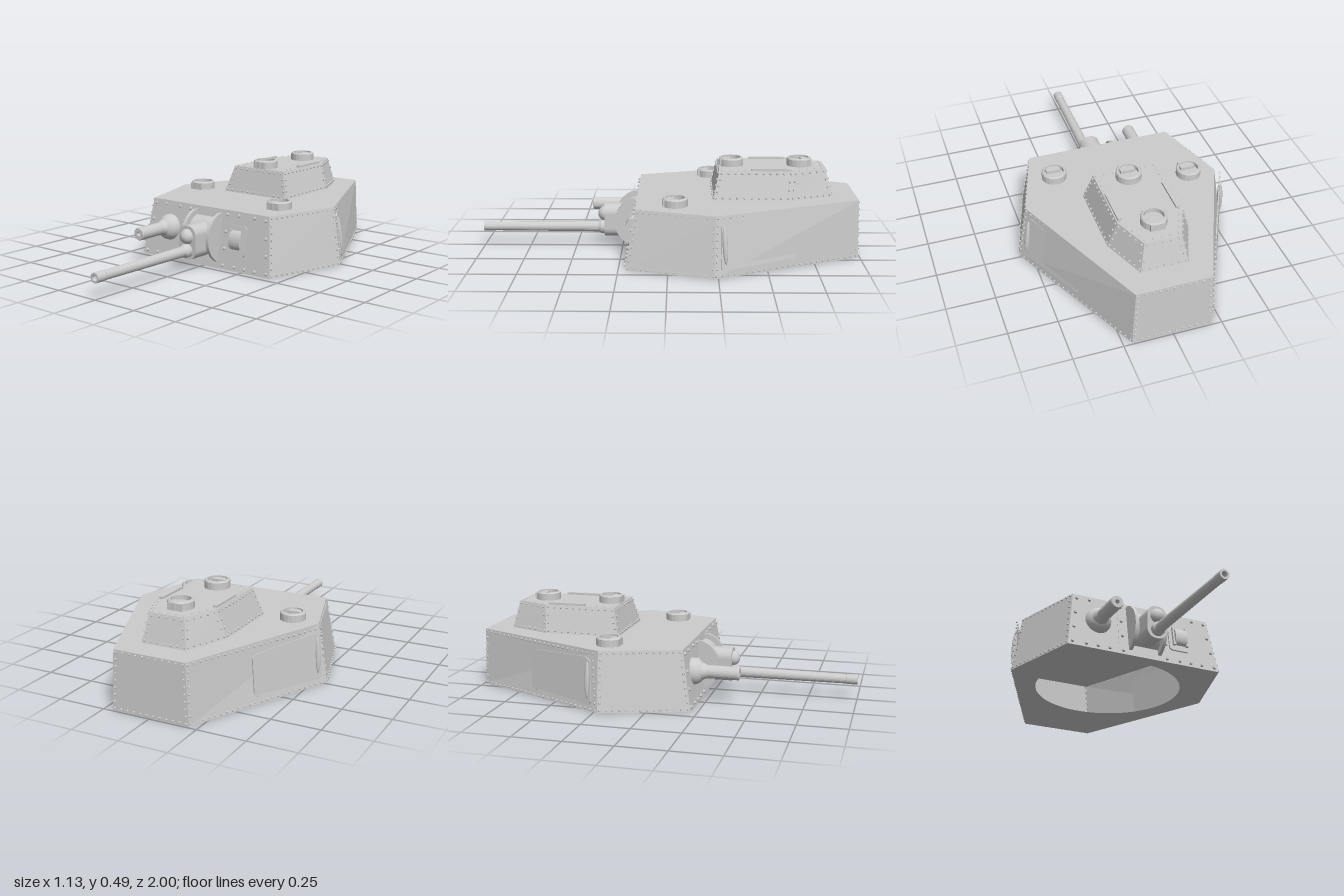
import * as THREE from 'three';
import { mergeGeometries } from 'three/addons/utils/BufferGeometryUtils.js';

const flat = new THREE.MeshStandardMaterial({ color: 0xcccccc, flatShading: true, side: THREE.DoubleSide });
const smooth = new THREE.MeshStandardMaterial({ color: 0xcccccc, side: THREE.DoubleSide });

function add(parent, name, geo, mat = flat, x = 0, y = 0, z = 0) {
  const m = new THREE.Mesh(geo, mat);
  m.name = name;
  m.position.set(x, y, z);
  parent.add(m);
  return m;
}

// Rings are [x, z] corners, running from front right to front left and round the back
const outline = ring => new THREE.Shape(ring.map(([x, z]) => new THREE.Vector2(x, -z)));
const capGeo = (shape, y) => new THREE.ShapeGeometry(shape, 24).rotateX(-Math.PI / 2).translate(0, y, 0);

// Sloped walls between two rings, one quad per side
function walls(low, high, y0, y1) {
  const pos = [];
  low.forEach((p, i) => {
    const j = (i + 1) % low.length;
    const a = [p[0], y0, p[1]], b = [low[j][0], y0, low[j][1]];
    const c = [high[j][0], y1, high[j][1]], d = [high[i][0], y1, high[i][1]];
    pos.push(...a, ...b, ...c, ...a, ...c, ...d);
  });
  const g = new THREE.BufferGeometry();
  g.setAttribute('position', new THREE.Float32BufferAttribute(pos, 3));
  g.computeVertexNormals();
  return g;
}

// Group lying on wall i: local x along its base, y up the slope, z outward
function wallFrame(parent, name, low, high, y0, y1, i) {
  const j = (i + 1) % low.length;
  const v3 = (p, y) => new THREE.Vector3(p[0], y, p[1]);
  const o = v3(low[i], y0);
  const corners = [o, v3(low[j], y0), v3(high[j], y1), v3(high[i], y1)];
  const u = corners[1].clone().sub(o).normalize();
  const n = u.clone().cross(corners[3].clone().sub(o)).normalize();
  const v = n.clone().cross(u);
  const frame = new THREE.Group();
  frame.name = name;
  new THREE.Matrix4().makeBasis(u, v, n).setPosition(o).decompose(frame.position, frame.quaternion, frame.scale);
  parent.add(frame);
  const pts = corners.map(c => { const d = c.clone().sub(o); return [d.dot(u), d.dot(v)]; });
  return { frame, pts };
}

// Rivets along straight lines [x0, y0, x1, y1] on a local plane
function rivets(parent, lines, step, r) {
  const geos = [];
  for (const [x0, y0, x1, y1] of lines) {
    const n = Math.max(1, Math.round(Math.hypot(x1 - x0, y1 - y0) / step));
    for (let k = 0; k <= n; k++) {
      const g = new THREE.CylinderGeometry(r * 0.65, r, r * 1.1, 6).rotateX(Math.PI / 2);
      geos.push(g.translate(x0 + (x1 - x0) * k / n, y0 + (y1 - y0) * k / n, r * 0.5));
    }
  }
  return add(parent, 'rivets', mergeGeometries(geos), flat);
}

// The four edges of a wall, moved inward by d
function insetEdges(pts, d) {
  const s = [[1, 1], [-1, 1], [-1, -1], [1, -1]];
  const q = pts.map((p, i) => [p[0] + s[i][0] * d, p[1] + s[i][1] * d]);
  return q.map((p, i) => [...p, ...q[(i + 1) % 4]]);
}

function roundedRect(x0, y0, x1, y1, r) {
  const s = new THREE.Shape();
  s.absarc(x1 - r, y1 - r, r, 0, Math.PI / 2);
  s.absarc(x0 + r, y1 - r, r, Math.PI / 2, Math.PI);
  s.absarc(x0 + r, y0 + r, r, Math.PI, Math.PI * 1.5);
  s.absarc(x1 - r, y0 + r, r, Math.PI * 1.5, Math.PI * 2);
  return s;
}
const extrude = (shape, depth) => new THREE.ExtrudeGeometry(shape, { depth, bevelEnabled: false, curveSegments: 10 });

// Round periscope hood with a viewing block on the side it faces
function periscope(parent, x, y, z, facing) {
  const g = new THREE.Group();
  g.name = 'periscope';
  const ring = [[0.05, 0], [0.065, 0], [0.065, 0.036], [0.059, 0.043], [0.05, 0.043], [0.05, 0]];
  add(g, 'periscopeRing', new THREE.LatheGeometry(ring.map(p => new THREE.Vector2(...p)), 20));
  add(g, 'periscopeFloor', new THREE.CylinderGeometry(0.052, 0.052, 0.02, 20), flat, 0, 0.01, 0);
  add(g, 'periscopeBlock', new THREE.BoxGeometry(0.075, 0.036, 0.055), flat, 0, 0.018, 0.036);
  g.position.set(x, y, z);
  g.rotation.y = facing;
  parent.add(g);
}

export function createModel() {
  const model = new THREE.Group();
  model.name = 'turret';
  const H = 0.305;

  // Turret shell with a round opening in the floor
  const low = [[-0.43, 0.215], [0.43, 0.215], [0.565, -0.23], [0.205, -0.99], [-0.205, -0.99], [-0.565, -0.23]];
  const high = [[-0.39, 0.165], [0.39, 0.165], [0.515, -0.235], [0.19, -0.985], [-0.19, -0.985], [-0.515, -0.235]];
  add(model, 'turretWalls', walls(low, high, 0, H));
  add(model, 'turretRoof', capGeo(outline(high), H));
  const floor = outline(low);
  floor.holes.push(new THREE.Path().absarc(0, 0.25, 0.395, 0, Math.PI * 2, true));
  add(model, 'turretFloor', capGeo(floor, 0));

  const names = ['frontPlate', 'leftFrontPlate', 'leftRearPlate', 'rearPlate', 'rightRearPlate', 'rightFrontPlate'];
  names.forEach((name, i) => {
    const { frame, pts } = wallFrame(model, name, low, high, 0, H, i);
    const w = pts[1][0];
    if (i > 0) rivets(frame, insetEdges(pts, 0.012), 0.034, 0.0065);
    if (i === 0) {
      // Large rivets either side of the gun
      const c = w / 2;
      for (const s of [-1, 1]) {
        rivets(frame, [[c + s * 0.125, 0.02, c + s * 0.125, 0.285], [c + s * 0.405, 0.02, c + s * 0.37, 0.285],
          [c + s * 0.2, 0.02, c + s * 0.33, 0.02], [c + s * 0.2, 0.288, c + s * 0.3, 0.288]], 0.085, 0.0095);
      }
      add(frame, 'plateSeam', new THREE.BoxGeometry(0.003, 0.23, 0.004), flat, c - 0.145, 0.18, 0);
      // Vision flap with a rounded cover
      add(frame, 'visorPlate', extrude(roundedRect(c + 0.145, 0.08, c + 0.262, 0.238, 0.018), 0.008));
      add(frame, 'visorCover', new THREE.CylinderGeometry(0.05, 0.05, 0.07, 20, 1, false, 0, Math.PI)
        .rotateZ(Math.PI / 2).rotateX(Math.PI / 2).scale(1, 1, 0.6).rotateX(0), smooth, c + 0.208, 0.163, 0.006);
      for (const s of [-1, 1]) add(frame, 'visorHinge', new THREE.BoxGeometry(0.014, 0.11, 0.02), flat, c + 0.208 + s * 0.037, 0.163, 0.012);
      rivets(frame, [[c + 0.165, 0.094, c + 0.245, 0.094], [c + 0.165, 0.225, c + 0.245, 0.225]], 0.04, 0.004);
    }
    if (i === 2 || i === 4) {
      // Side door, mirrored on the other side
      const m = x => (i === 2 ? x : w - x);
      const door = [[0.04, 0.05], [0.055, 0.035], [0.42, 0.05], [0.44, 0.04], [0.465, 0.06], [0.47, 0.24], [0.45, 0.255], [0.08, 0.275], [0.05, 0.255]];
      add(frame, 'sideDoor', extrude(new THREE.Shape(door.map(p => new THREE.Vector2(m(p[0]), p[1]))), 0.006));
      add(frame, 'doorHandle', new THREE.SphereGeometry(1, 12, 10).scale(0.014, 0.095, 0.014), smooth, m(0.065), 0.16, 0.006);
    }
  });

  // Raised commander's housing
  const y0 = H, y1 = 0.45;
  const cLow = [[-0.21, -0.23], [0.21, -0.23], [0.21, -0.63], [0.12, -0.855], [-0.12, -0.855], [-0.21, -0.63]];
  const cHigh = [[-0.165, -0.262], [0.165, -0.262], [0.165, -0.645], [0.093, -0.82], [-0.093, -0.82], [-0.165, -0.645]];
  add(model, 'housingWalls', walls(cLow, cHigh, y0, y1));
  add(model, 'housingRoof', capGeo(outline(cHigh), y1));
  cLow.forEach((_, i) => {
    const { frame, pts } = wallFrame(model, 'housingPlate', cLow, cHigh, y0, y1, i);
    rivets(frame, insetEdges(pts, 0.013), 0.037, 0.0065);
  });
  // Roof rivets, on a plane turned to face up
  const roofRivets = new THREE.Group();
  roofRivets.name = 'housingRoofRivets';
  roofRivets.rotation.x = -Math.PI / 2;
  roofRivets.position.y = y1;
  const rim = cHigh.map(([x, z]) => [x * 0.92, -(-0.54 + (z + 0.54) * 0.94)]);
  rivets(roofRivets, rim.map((p, i) => [...p, ...rim[(i + 1) % 6]]), 0.042, 0.0055);
  model.add(roofRivets);
  for (const s of [-1, 1]) add(model, 'roofStrip', new THREE.BoxGeometry(0.02, 0.012, 0.2), flat, s * 0.148, 0.455, -0.53);

  // Periscopes
  periscope(model, 0, y1, -0.33, 0);
  periscope(model, 0, y1, -0.69, Math.PI);
  periscope(model, -0.37, H, -0.225, 0);
  periscope(model, 0.307, H, -0.035, 0);

  // Gun mantlet: a curved drum between two cheek plates
  const sector = (r, width, x) => {
    const s = new THREE.Shape();
    s.absarc(0.15, 0.155, r, -1.25, 1.25);
    s.lineTo(0.16, 0.155 + r * 0.95);
    s.lineTo(0.2, 0.155 - r * 0.95);
    return new THREE.ExtrudeGeometry(s, { depth: width, bevelEnabled: false, curveSegments: 18 })
      .translate(0, 0, -width / 2).rotateY(-Math.PI / 2).translate(x, 0, 0);
  };
  add(model, 'mantletDrum', sector(0.108, 0.15, 0));
  for (const s of [-1, 1]) add(model, 'mantletCheek', sector(0.137, 0.018, s * 0.083));
  add(model, 'gunSleeve', extrude(roundedRect(-0.056, 0.058, 0.056, 0.236, 0.05), 0.12), flat, 0, 0, 0.225);
  add(model, 'sightKnob', new THREE.SphereGeometry(0.04, 16, 12), smooth, 0, 0.18, 0.342);

  // Barrels are turned profiles with hollow muzzles: [radius, z]
  const turned = profile => new THREE.LatheGeometry(profile.map(p => new THREE.Vector2(...p)), 24).rotateX(Math.PI / 2);
  add(model, 'gunBarrel', turned([[0.036, 0.33], [0.036, 0.365], [0.028, 0.38], [0.024, 0.94], [0.026, 0.945],
    [0.026, 1], [0.015, 1], [0.015, 0.93], [0, 0.93]]), flat, 0, 0.106, 0);

  // Ball mount with a short gun tube
  add(model, 'ballMount', new THREE.SphereGeometry(0.07, 24, 16), smooth, -0.258, 0.165, 0.185);
  add(model, 'ballMountTube', turned([[0.045, 0.235], [0.034, 0.265], [0.034, 0.425], [0.031, 0.43],
    [0.012, 0.43], [0.012, 0.39], [0, 0.39]]), flat, -0.262, 0.168, 0);
  return model;
}
